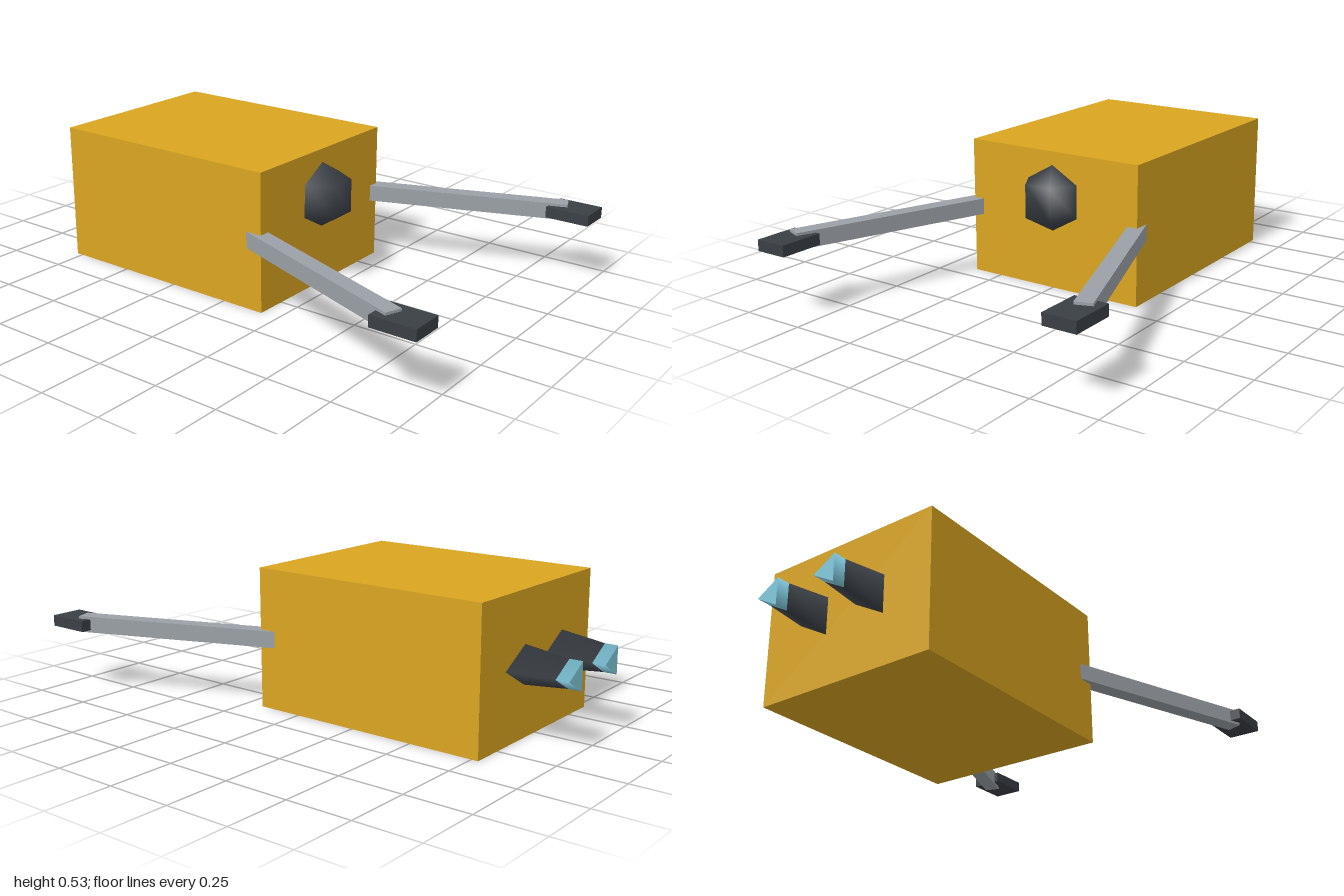
import * as THREE from 'three';

const material = (name, color) => {
  const m = new THREE.MeshStandardMaterial({ color });
  m.name = name;
  return m;
};

export function createModel() {
  const model = new THREE.Group();
  model.name = 'utilityPod';

  const gold = material('gold hull', 0xdaa520);
  const grey = material('grey metal', 0x9aa0a5);
  const dark = material('dark metal', 0x3a3f45);
  const blue = material('blue glow', 0x80c8dc);

  const add = (name, geometry, mat, x, y, z) => {
    const mesh = new THREE.Mesh(geometry, mat);
    mesh.name = name;
    mesh.position.set(x, y, z);
    model.add(mesh);
    return mesh;
  };

  // Hull
  add('hull', new THREE.BoxGeometry(0.738, 0.53, 0.953), gold, 0, 0.265, -0.3);

  // Coarse ball window set into the nose
  add('cockpitDome', new THREE.SphereGeometry(0.127, 6, 3), dark, 0, 0.352, 0.175);

  // Three-sided prism pointing backwards, with one corner towards +x
  const prism = (rBack, rFront, length) =>
    new THREE.CylinderGeometry(rBack, rFront, length, 3)
      .rotateX(-Math.PI / 2)
      .rotateZ(-Math.PI / 2);

  const armAngle = THREE.MathUtils.degToRad(20);
  const armLength = 0.85;

  for (const side of [1, -1]) {
    const label = side > 0 ? 'left' : 'right';

    // Splayed arm, its rear end buried in the hull
    const reach = armLength / 2;
    const arm = add(label + 'Arm', new THREE.BoxGeometry(0.062, 0.062, armLength), grey,
      side * (0.618 - reach * Math.sin(armAngle)), 0.267, 0.885 - reach * Math.cos(armAngle));
    arm.rotation.y = side * armAngle;

    // Gripper pad at the arm tip
    add(label + 'Gripper', new THREE.BoxGeometry(0.125, 0.042, 0.17), dark, side * 0.609, 0.267, 0.914);

    // Tapered thruster and its glowing nozzle
    add(label + 'Thruster', prism(0.06, 0.084, 0.18), dark, side * 0.128, 0.266, -0.86);
    add(label + 'Nozzle', prism(0.06, 0.06, 0.05), blue, side * 0.128, 0.266, -0.975);
  }

  return model;
}
